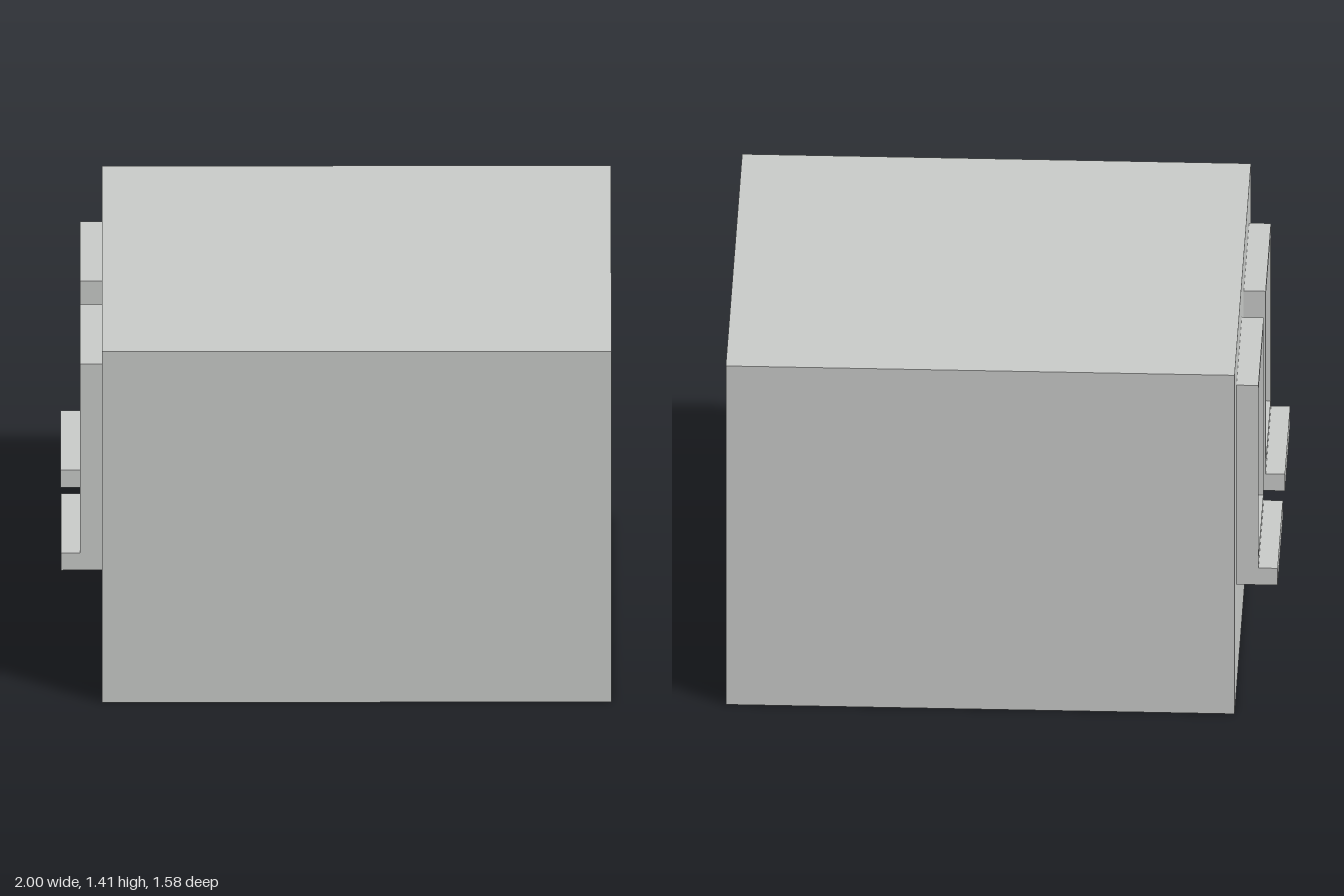
import * as THREE from 'three';

const mat = (name, color) => new THREE.MeshStandardMaterial({ name, color });

export function createModel() {
  const plaster = mat('grey plaster', 0xc8cac8);
  const wood = mat('tan wood', 0xb5a28d);
  const metal = mat('pale metal', 0xd8d8d6);

  const model = new THREE.Group();
  model.name = 'room';

  const add = (parent, name, geometry, material, x = 0, y = 0, z = 0) => {
    const mesh = new THREE.Mesh(geometry, material);
    mesh.name = name;
    mesh.position.set(x, y, z);
    parent.add(mesh);
    return mesh;
  };
  const box = (parent, name, material, x0, x1, y0, y1, z0, z1) =>
    add(parent, name, new THREE.BoxGeometry(x1 - x0, y1 - y0, z1 - z0), material,
      (x0 + x1) / 2, (y0 + y1) / 2, (z0 + z1) / 2);

  // Rectangle outline, with optional rectangular holes [x0, x1, y0, y1]
  const trace = (path, [x0, x1, y0, y1]) => {
    path.moveTo(x0, y0).lineTo(x1, y0).lineTo(x1, y1).lineTo(x0, y1).closePath();
    return path;
  };
  const plate = (outer, holes = []) => {
    const shape = trace(new THREE.Shape(), outer);
    holes.forEach((h) => shape.holes.push(trace(new THREE.Path(), h)));
    return shape;
  };
  const slab = (shape, depth) => new THREE.ExtrudeGeometry(shape, { depth, bevelEnabled: false });

  // Box lacking one side (sides run +x, -x, +y, -y, +z, -z), optionally inside out
  const openBox = (w, h, d, side, inward) => {
    const g = new THREE.BoxGeometry(w, h, d);
    const index = Array.from(g.index.array);
    index.splice(side * 6, 6);
    g.setIndex(inward ? index.reverse() : index);
    g.clearGroups();
    if (inward) {
      const n = g.attributes.normal;
      for (let i = 0; i < n.count; i++) n.setXYZ(i, -n.getX(i), -n.getY(i), -n.getZ(i));
    }
    return g;
  };

  // Main block; its door wall is a separate face with an opening
  const H = 1.41, D = 0.788;
  add(model, 'walls', openBox(1.85, H, D * 2, 0, false), plaster, 0.075, H / 2, 0);

  // Door wall group: local x = -world z, local z = world x
  const doorSide = new THREE.Group();
  doorSide.name = 'doorSide';
  doorSide.rotation.y = Math.PI / 2;
  model.add(doorSide);
  const opening = [-0.309, -0.059, 0.034, 0.66];
  const [l, r, b, t] = opening;
  add(doorSide, 'doorWall', new THREE.ShapeGeometry(plate([-D, D, 0, H], [opening])), plaster, 0, 0, 1);
  const recess = 0.06;
  add(doorSide, 'doorway', openBox(r - l, t - b, recess, 4, true), plaster,
    (l + r) / 2, (b + t) / 2, 1 - recess / 2);

  // Door frame lining and leaf with four panels
  const face = 0.965, back = 0.945;
  add(doorSide, 'doorFrame', slab(plate([l, r, b, t], [[l + 0.008, r - 0.008, b + 0.004, t - 0.008]]), face - back),
    wood, 0, 0, back);
  const panels = [];
  for (const [x0, x1] of [[-0.263, -0.208], [-0.169, -0.11]])
    for (const [y0, y1] of [[0.11, 0.271], [0.322, 0.602]]) panels.push([x0, x1, y0, y1]);
  add(doorSide, 'doorLeaf', slab(plate([l + 0.012, r - 0.012, b + 0.006, t - 0.011], panels), face - back),
    wood, 0, 0, back);
  box(doorSide, 'doorCore', wood, l + 0.013, r - 0.013, b + 0.007, t - 0.012, 0.942, 0.955);
  for (const [x0, x1, y0, y1] of panels) {
    const m = 0.013;
    const raised = new THREE.ExtrudeGeometry(plate([x0 + m, x1 - m, y0 + m, y1 - m]),
      { depth: 0.003, bevelThickness: 0.005, bevelSize: 0.006, bevelSegments: 1 });
    add(doorSide, 'doorPanel', raised, wood, 0, 0, 0.955);
  }

  // Hinges and knob
  for (const y of [0.102, 0.572]) box(doorSide, 'hinge', metal, -0.072, -0.065, y - 0.017, y + 0.017, 0.95, 0.968);
  const disc = (name, radius, depth, z) => {
    const g = new THREE.CylinderGeometry(radius, radius, depth, 20).rotateX(Math.PI / 2);
    add(doorSide, name, g, wood, -0.288, 0.356, z);
  };
  disc('knobPlate', 0.01, 0.004, face + 0.002);
  disc('knobStem', 0.004, 0.018, face + 0.009);
  add(doorSide, 'knob', new THREE.SphereGeometry(0.009, 20, 14), wood, -0.288, 0.356, face + 0.021);

  // Windows: local x = world z, local z = -world x
  for (const z of [-0.358, 0.343]) {
    const win = new THREE.Group();
    win.name = 'window';
    win.rotation.y = -Math.PI / 2;
    win.position.z = z;
    model.add(win);
    const w = 0.2525, iw = w - 0.025, y0 = 0.545, y1 = 1.245;
    add(win, 'windowFrame', slab(plate([-w, w, 0.51, 1.27], [[-iw, iw, y0, y1]]), 0.08), plaster, 0, 0, 0.85);
    box(win, 'windowSill', plaster, -w, w, 0.44, 0.51, 0.85, 1);
    box(win, 'windowPane', plaster, -iw, iw, y0, y1, 0.85, 0.885);
    // Glazing bars, two panes wide and four high
    box(win, 'verticalBar', plaster, -0.006, 0.006, y0, y1, 0.885, 0.893);
    for (let i = 1; i < 4; i++) {
      const y = y0 + ((y1 - y0) * i) / 4;
      box(win, 'crossBar', plaster, -iw, iw, y - 0.006, y + 0.006, 0.885, 0.892);
    }
  }
  return model;
}
